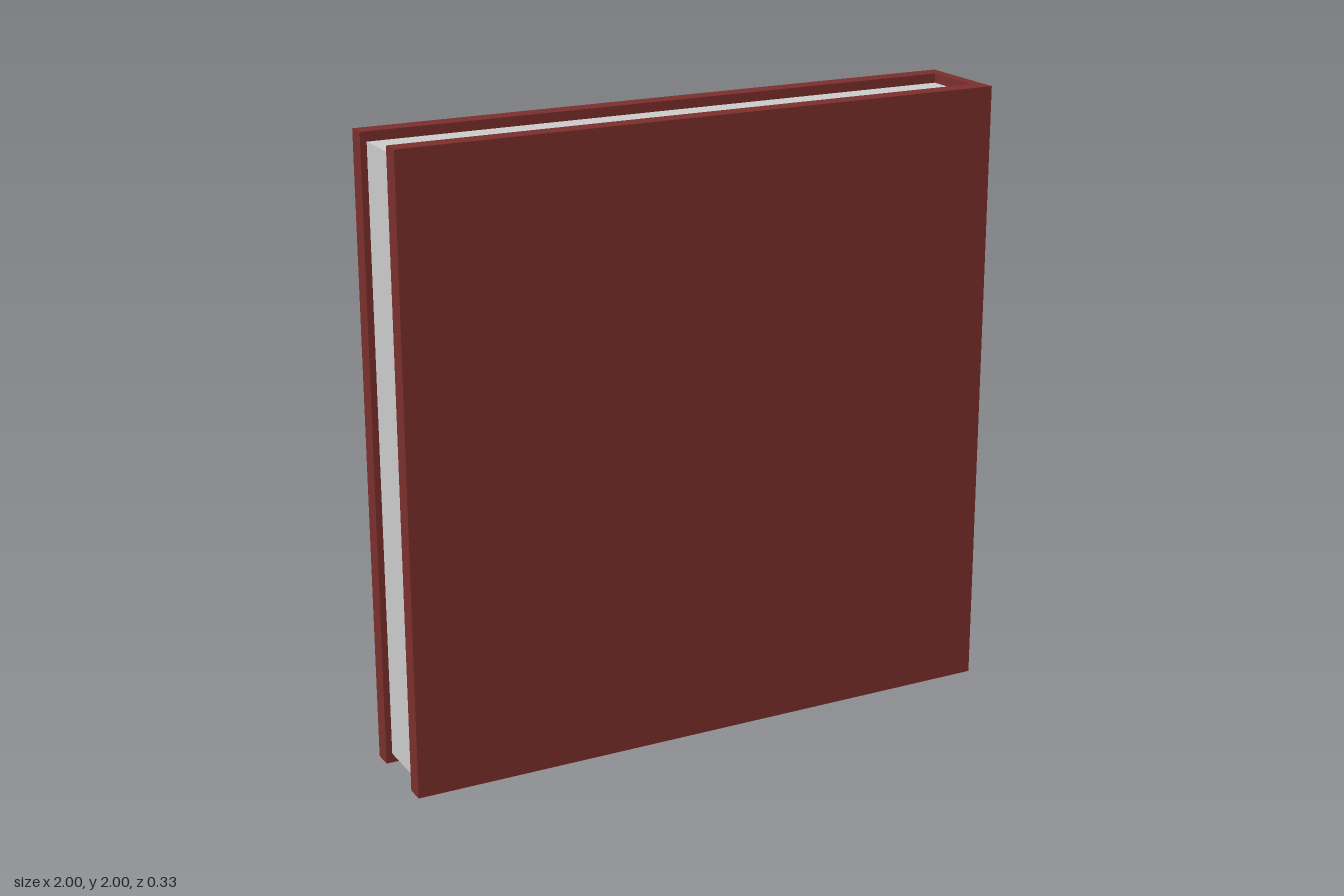
import * as THREE from 'three';

const SIZE = 2;        // height and width of the cover
const HALF = 0.163;    // half of the total thickness
const INNER = 0.103;   // half of the gap between the boards
const SPINE = 0.963;   // inside face of the spine

export function createModel() {
  const group = new THREE.Group();
  group.name = 'book';

  const coverMaterial = new THREE.MeshStandardMaterial({ color: 0x7b2f2c });
  const paperMaterial = new THREE.MeshStandardMaterial({ color: 0xcccccc });

  // Cover: two boards and a spine as one U-shaped section, extruded upwards
  const section = new THREE.Shape([
    [-1, -HALF], [1, -HALF], [1, HALF], [-1, HALF],
    [-1, INNER], [SPINE, INNER], [SPINE, -INNER], [-1, -INNER],
  ].map(([x, z]) => new THREE.Vector2(x, z)));
  const coverGeometry = new THREE.ExtrudeGeometry(section, { depth: SIZE, bevelEnabled: false });
  coverGeometry.rotateX(-Math.PI / 2);
  const cover = new THREE.Mesh(coverGeometry, coverMaterial);
  cover.name = 'cover';
  group.add(cover);

  // Page block: set back from the top, bottom and fore edge of the cover
  const inset = 0.03, foreEdge = -0.98;
  const pages = new THREE.Mesh(
    new THREE.BoxGeometry(SPINE - foreEdge, SIZE - 2 * inset, 2 * INNER),
    paperMaterial,
  );
  pages.name = 'pages';
  pages.position.set((SPINE + foreEdge) / 2, SIZE / 2, 0);
  group.add(pages);

  return group;
}
